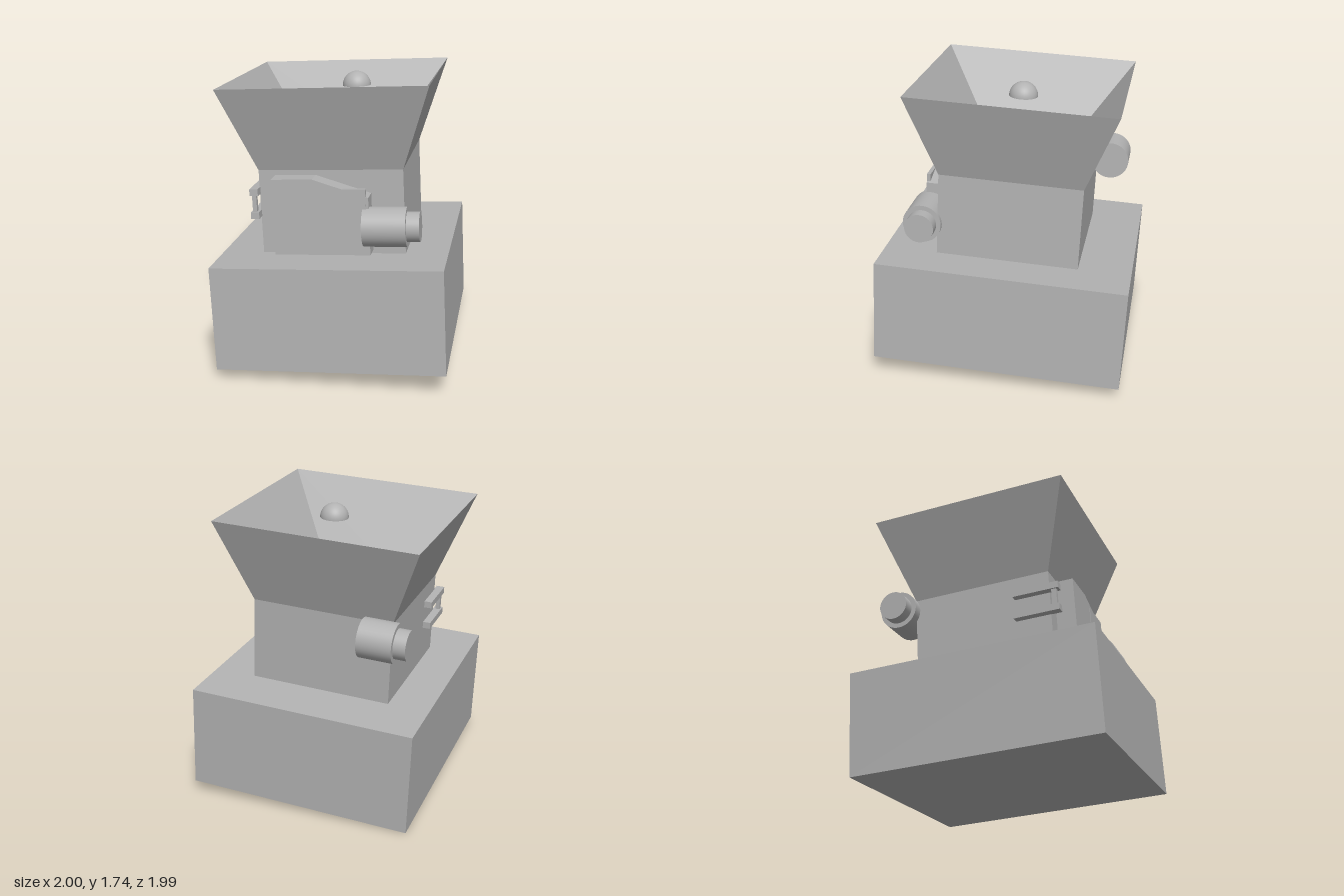
import * as THREE from 'three';

export function createModel() {
  const model = new THREE.Group();
  model.name = 'hopperMachine';

  const grey = new THREE.MeshStandardMaterial({ color: 0xb2b2b2 });
  grey.name = 'plain grey';
  const greyOpen = new THREE.MeshStandardMaterial({ color: 0xb2b2b2, side: THREE.DoubleSide });
  greyOpen.name = 'plain grey open';

  // The whole machine stands turned and slightly tipped
  const body = new THREE.Group();
  body.name = 'tiltedBody';
  body.rotation.set(0, 0.655, 0.067, 'ZYX');
  body.position.set(0.02, 0.069, 0);
  model.add(body);

  const add = (name, geometry, material = grey) => {
    const mesh = new THREE.Mesh(geometry, material);
    mesh.name = name;
    body.add(mesh);
    return mesh;
  };

  // Box given by its lower and upper limits on each axis
  const box = (name, [x0, x1], [y0, y1], [z0, z1]) =>
    add(name, new THREE.BoxGeometry(x1 - x0, y1 - y0, z1 - z0))
      .position.set((x0 + x1) / 2, (y0 + y1) / 2, (z0 + z1) / 2);

  // Cylinder lying along x
  const drum = (name, x0, x1, y, z, radius) => {
    const g = new THREE.CylinderGeometry(radius, radius, Math.abs(x1 - x0), 40);
    g.rotateZ(Math.PI / 2);
    add(name, g).position.set((x0 + x1) / 2, y, z);
  };

  // Heavy base block
  box('base', [-0.671, 0.671], [0, 0.622], [-0.739, 0.739]);

  // Square column flaring to a sharp rim, then a funnel down to a shallow well
  const profile = [
    [0.424, 0.622], [0.424, 1.122], [0.603, 1.624],
    [0.232, 1.13], [0.232, 1.02], [0, 1.02],
  ].map(([half, y]) => new THREE.Vector2(half * Math.SQRT2, y));
  const hopper = new THREE.LatheGeometry(profile, 4).rotateY(Math.PI / 4).toNonIndexed();
  hopper.computeVertexNormals();
  add('hopper', hopper);

  // Dome inside the funnel mouth
  add('dome', new THREE.SphereGeometry(0.085, 32, 14, 0, Math.PI * 2, 0, Math.PI / 2), greyOpen)
    .position.set(0.105, 1.547, 0);

  // Front housing with a sloping shoulder
  const outline = new THREE.Shape([
    [-0.325, 0.646], [0.235, 0.646], [0.235, 0.985], [-0.085, 1.093], [-0.325, 1.093],
  ].map(([x, y]) => new THREE.Vector2(x, y)));
  add('frontHousing', new THREE.ExtrudeGeometry(outline, { depth: 0.12, bevelEnabled: false }))
    .position.z = 0.42;
  box('housingPlate', [-0.01, 0.22], [0.735, 1.035], [0.52, 0.543]);

  // Stepped drums on opposite sides
  drum('frontDrum', 0.2, 0.45, 0.81, 0.512, 0.115);
  drum('frontDrumCap', 0.45, 0.524, 0.81, 0.512, 0.087);
  drum('rearDrum', -0.28, -0.485, 1.058, -0.515, 0.115);
  drum('rearDrumCap', -0.485, -0.557, 1.058, -0.515, 0.087);

  // Side latch: two bars joined by a post
  for (const y of [0.865, 1.003])
    box('latchBar', [-0.47, -0.42], [y - 0.02, y + 0.02], [0.21, 0.49]);
  box('latchPost', [-0.46, -0.435], [0.865, 1.003], [0.445, 0.475]);

  return model;
}
